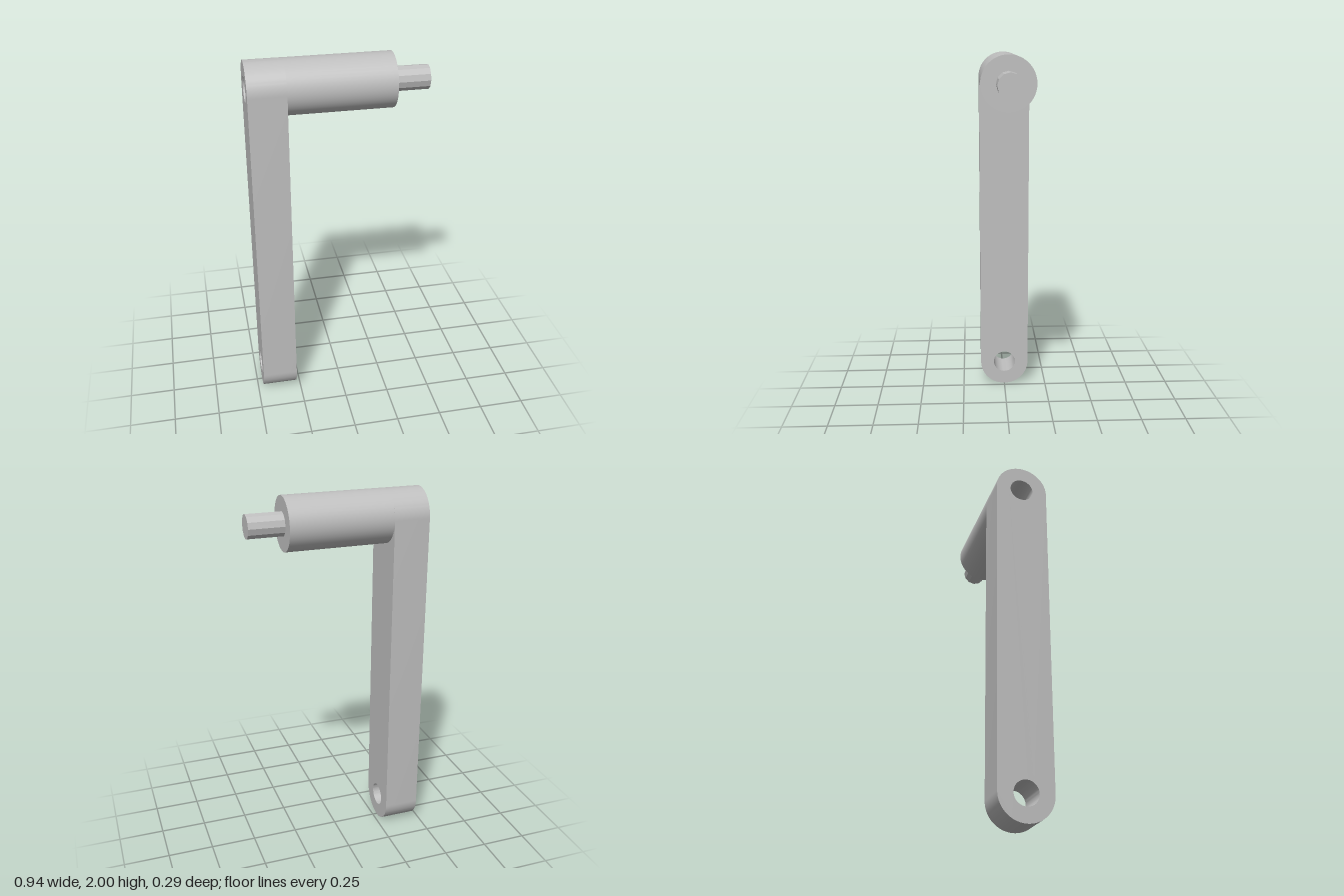
import * as THREE from 'three';
import { toCreasedNormals } from 'three/addons/utils/BufferGeometryUtils.js';

const R = 0.143;       // arm end and handle radius
const BORE = 0.064;    // hole and pin radius
const LOW = R, HIGH = 2 - R;
const LEFT = -0.47, ARM = -0.275, SHOULDER = 0.28, RIGHT = 0.47;

export function createModel() {
  const group = new THREE.Group();
  const metal = new THREE.MeshStandardMaterial({ color: 0xbfbfbf });
  metal.name = 'plain grey metal';

  const add = (name, geometry) => {
    const mesh = new THREE.Mesh(geometry, metal);
    mesh.name = name;
    group.add(mesh);
    return mesh;
  };

  // Round-ended arm with a hole at each end
  const outline = new THREE.Shape();
  outline.absarc(0, HIGH, R, 0, Math.PI, false);
  outline.absarc(0, LOW, R, Math.PI, Math.PI * 2, false);
  outline.closePath();
  for (const y of [LOW, HIGH]) {
    outline.holes.push(new THREE.Path().absarc(0, y, BORE, 0, Math.PI * 2, true));
  }
  const arm = new THREE.ExtrudeGeometry(outline, {
    depth: ARM - LEFT, bevelEnabled: false, curveSegments: 24,
  });
  arm.rotateY(Math.PI / 2).translate(LEFT, 0, 0);
  add('arm', toCreasedNormals(arm, Math.PI / 5));

  // Cylinders lying along x at the top of the arm
  const bar = (radius, x0, x1, sides) => new THREE.CylinderGeometry(radius, radius, x1 - x0, sides)
    .rotateZ(-Math.PI / 2)
    .translate((x0 + x1) / 2, HIGH, 0);

  add('handle', bar(R, ARM, SHOULDER, 48));
  // The slim pin has visible facets
  add('pin', toCreasedNormals(bar(BORE, SHOULDER, RIGHT, 12), 0.2));

  return group;
}
